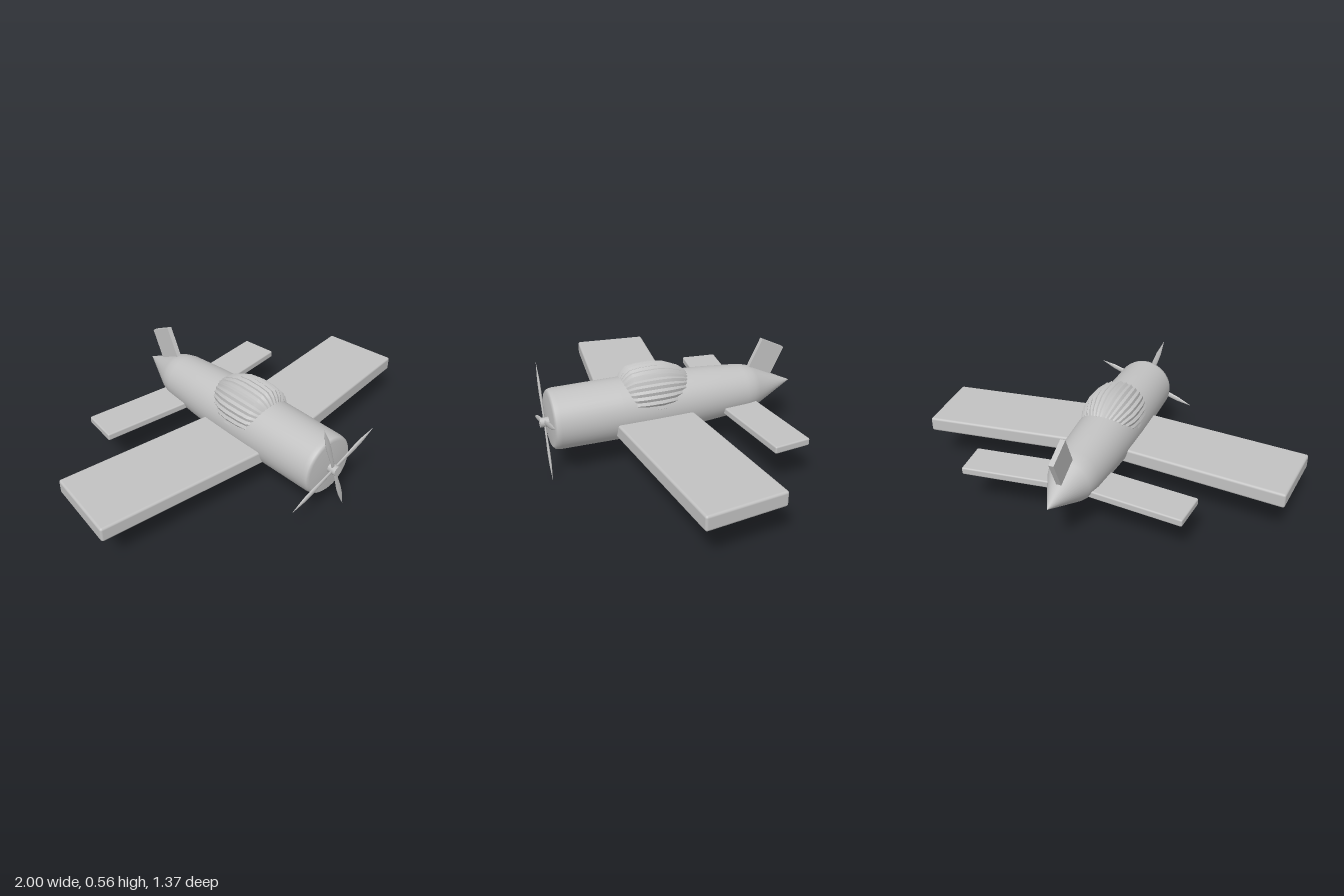
import * as THREE from 'three';
import { toCreasedNormals } from 'three/addons/utils/BufferGeometryUtils.js';
import { RoundedBoxGeometry } from 'three/addons/geometries/RoundedBoxGeometry.js';

const grey = new THREE.MeshStandardMaterial({ color: 0xc2c2c2 });
grey.name = 'lightGrey';

const AXIS_Y = 0.288; // height of the fuselage axis
const SWEEP = 0.112; // sweep of wings and tailplanes

// Revolved profile of [radius, z] pairs, listed from tail to nose
function revolve(profile, sides) {
  const points = profile.map(([r, z]) => new THREE.Vector2(r, z));
  return new THREE.LatheGeometry(points, sides).rotateX(Math.PI / 2);
}

function part(name, geometry, x = 0, y = 0, z = 0) {
  const mesh = new THREE.Mesh(geometry, grey);
  mesh.name = name;
  mesh.position.set(x, y, z);
  return mesh;
}

// Slab ending at a swept tip, mirrored to both sides
function addPair(group, name, tipX, y, tipZ, span, thickness, chord, radius) {
  for (const side of [1, -1]) {
    const x = tipX - (span / 2) * Math.cos(SWEEP);
    const z = tipZ + (span / 2) * Math.sin(SWEEP);
    const geometry = new RoundedBoxGeometry(span, thickness, chord, 2, radius);
    const slab = part((side > 0 ? 'left' : 'right') + name, geometry, side * x, y, z);
    slab.rotation.y = side * SWEEP;
    group.add(slab);
  }
}

// Smooth body with a pointed tail and a softly shaded nose
function fuselageGeometry() {
  return revolve([
    [0, -0.682], [0.108, -0.455], [0.118, -0.425], [0.128, -0.38], [0.142, -0.2],
    [0.151, -0.05], [0.156, 0.15], [0.156, 0.3], [0.153, 0.61],
    [0.148, 0.632], [0.134, 0.643], [0, 0.646],
  ], 40);
}

// Barrel-shaped canopy whose every second meridian is sunk to form ribs
function canopyGeometry() {
  const profile = [
    [0, -0.075], [0.09, -0.07], [0.118, -0.035], [0.148, 0.04], [0.156, 0.1],
    [0.154, 0.18], [0.146, 0.23], [0.125, 0.255], [0.095, 0.275], [0, 0.282],
  ];
  const geometry = revolve(profile, 64);
  const pos = geometry.attributes.position;
  for (let i = 0; i < pos.count; i++) {
    if (Math.floor(i / profile.length) % 2) {
      pos.setXY(i, pos.getX(i) * 0.95, pos.getY(i) * 0.95);
    }
  }
  return toCreasedNormals(geometry, 0.3);
}

function propeller() {
  const group = new THREE.Group();
  group.name = 'propeller';
  group.position.set(0.007, 0.281, 0.666);
  group.rotation.z = 0.34;
  const hub = new THREE.CylinderGeometry(0.024, 0.024, 0.046, 12).rotateX(Math.PI / 2);
  group.add(part('propellerHub', toCreasedNormals(hub, 0.6)));

  // Flattened spindle blades
  const outline = [[0, 0], [0.01, 0.015], [0.011, 0.08], [0.015, 0.15], [0.013, 0.21], [0, 0.296]];
  const blade = new THREE.LatheGeometry(outline.map(([r, y]) => new THREE.Vector2(r, y)), 12);
  blade.scale(1, 1, 0.45);
  for (let i = 0; i < 4; i++) {
    const mesh = part('propellerBlade', blade);
    mesh.rotation.z = (i * Math.PI) / 2;
    group.add(mesh);
  }
  return group;
}

export function createModel() {
  const model = new THREE.Group();
  model.name = 'propellerPlane';

  model.add(part('fuselage', fuselageGeometry(), 0, AXIS_Y, 0));
  model.add(part('canopy', canopyGeometry(), 0, 0.35, 0));

  addPair(model, 'Wing', 0.978, 0.233, 0.043, 0.95, 0.076, 0.4, 0.012);
  addPair(model, 'Tailplane', 0.573, 0.231, -0.39, 0.54, 0.038, 0.194, 0.008);

  // Fin leaning backwards
  const fin = part('fin', new THREE.BoxGeometry(0.025, 0.25, 0.142), -0.003, 0.406, -0.512);
  fin.rotation.x = -0.452;
  model.add(fin);

  // Small skid under the tail
  model.add(part('tailSkid', new THREE.SphereGeometry(0.011, 12, 8), 0, 0.185, -0.467));

  model.add(propeller());
  return model;
}
